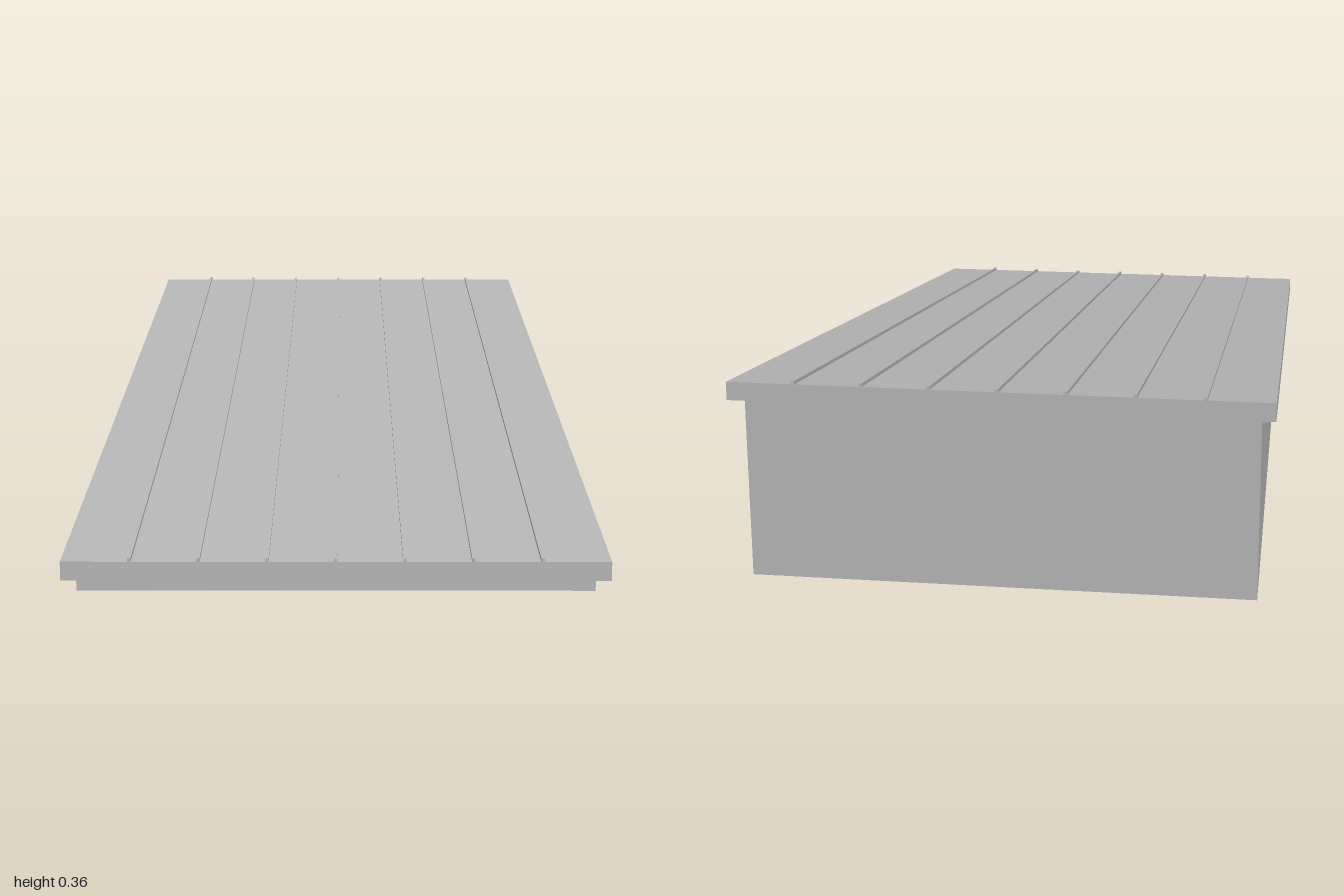
import * as THREE from 'three';

const grey = new THREE.MeshStandardMaterial({ color: 0xb4b4b4 });
grey.name = 'plain grey';

// Heights of the sloping deck along z
const underside = z => 0.173 - 0.15 * z;
const deckTop = z => 0.205 - 0.15 * z;
const ribTop = z => 0.211 - 0.15 * z;
const ground = () => 0;

// A box whose bottom and top follow the given height rules
function slopedBox(name, x, width, z0, z1, low, high) {
  const geometry = new THREE.BoxGeometry(width, 1, z1 - z0);
  geometry.translate(x, 0, (z0 + z1) / 2);
  const p = geometry.attributes.position;
  for (let i = 0; i < p.count; i++) {
    const z = p.getZ(i);
    p.setY(i, p.getY(i) < 0 ? low(z) : high(z));
  }
  geometry.computeVertexNormals();
  const mesh = new THREE.Mesh(geometry, grey);
  mesh.name = name;
  return mesh;
}

export function createModel() {
  const model = new THREE.Group();
  model.name = 'ramp';
  const halfX = 0.433, halfZ = 0.975, wall = 0.035;

  // Overhanging deck slab
  model.add(slopedBox('deck', 0, 0.912, -1, 1, underside, deckTop));

  // Raised ribs running up the slope
  for (let i = -3; i <= 3; i++) {
    model.add(slopedBox('rib', i * 0.114, 0.006, -1, 1, deckTop, ribTop));
  }

  // Hollow base, open underneath
  for (const side of [-1, 1]) {
    model.add(slopedBox(side > 0 ? 'leftWall' : 'rightWall',
      side * (halfX - wall / 2), wall, -halfZ, halfZ, ground, underside));
  }
  const inner = 2 * (halfX - wall);
  model.add(slopedBox('frontWall', 0, inner, halfZ - wall, halfZ, ground, underside));
  model.add(slopedBox('backWall', 0, inner, -halfZ, -halfZ + wall, ground, underside));
  return model;
}
